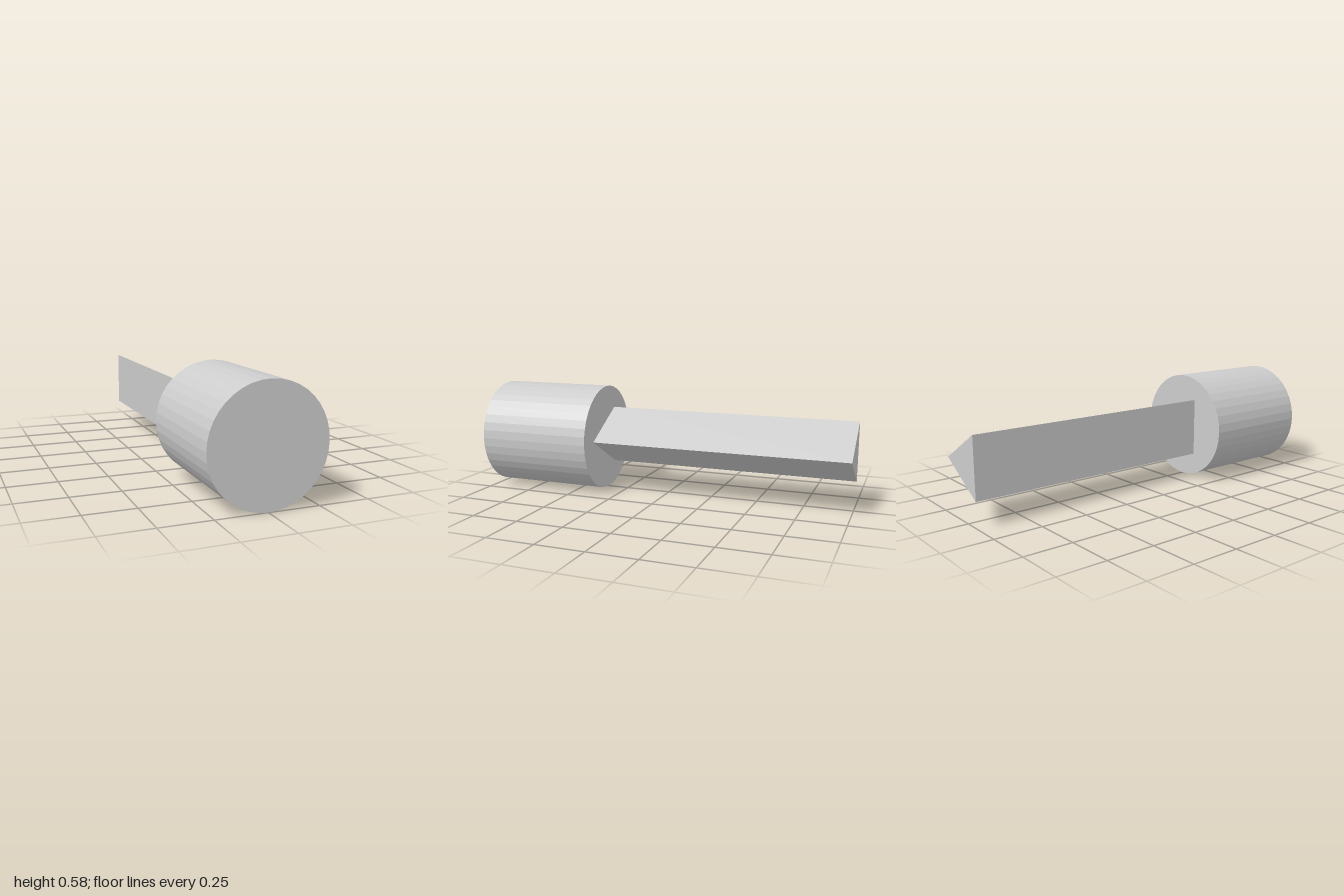
import * as THREE from 'three';

// Faceted prism lying along z between two ends, with one corner pointing at +x
function prism(name, radius, sides, z0, z1, y, material) {
  const indexed = new THREE.CylinderGeometry(radius, radius, z1 - z0, sides, 1, false, Math.PI / 2);
  indexed.rotateX(Math.PI / 2);
  const geometry = indexed.toNonIndexed();
  geometry.computeVertexNormals();
  const mesh = new THREE.Mesh(geometry, material);
  mesh.name = name;
  mesh.position.set(0, y, (z0 + z1) / 2);
  return mesh;
}

export function createModel() {
  const group = new THREE.Group();
  group.name = 'triangularShaftWithRoundHead';
  const grey = new THREE.MeshStandardMaterial({ color: 0xcccccc });
  grey.name = 'light grey';

  const axisY = 0.288;
  const joint = 0.37;
  // Round head at the front, three-sided shaft behind it
  group.add(prism('head', 0.288, 40, joint, 1, axisY, grey));
  group.add(prism('shaft', 0.181, 3, -1, joint, axisY, grey));
  return group;
}
